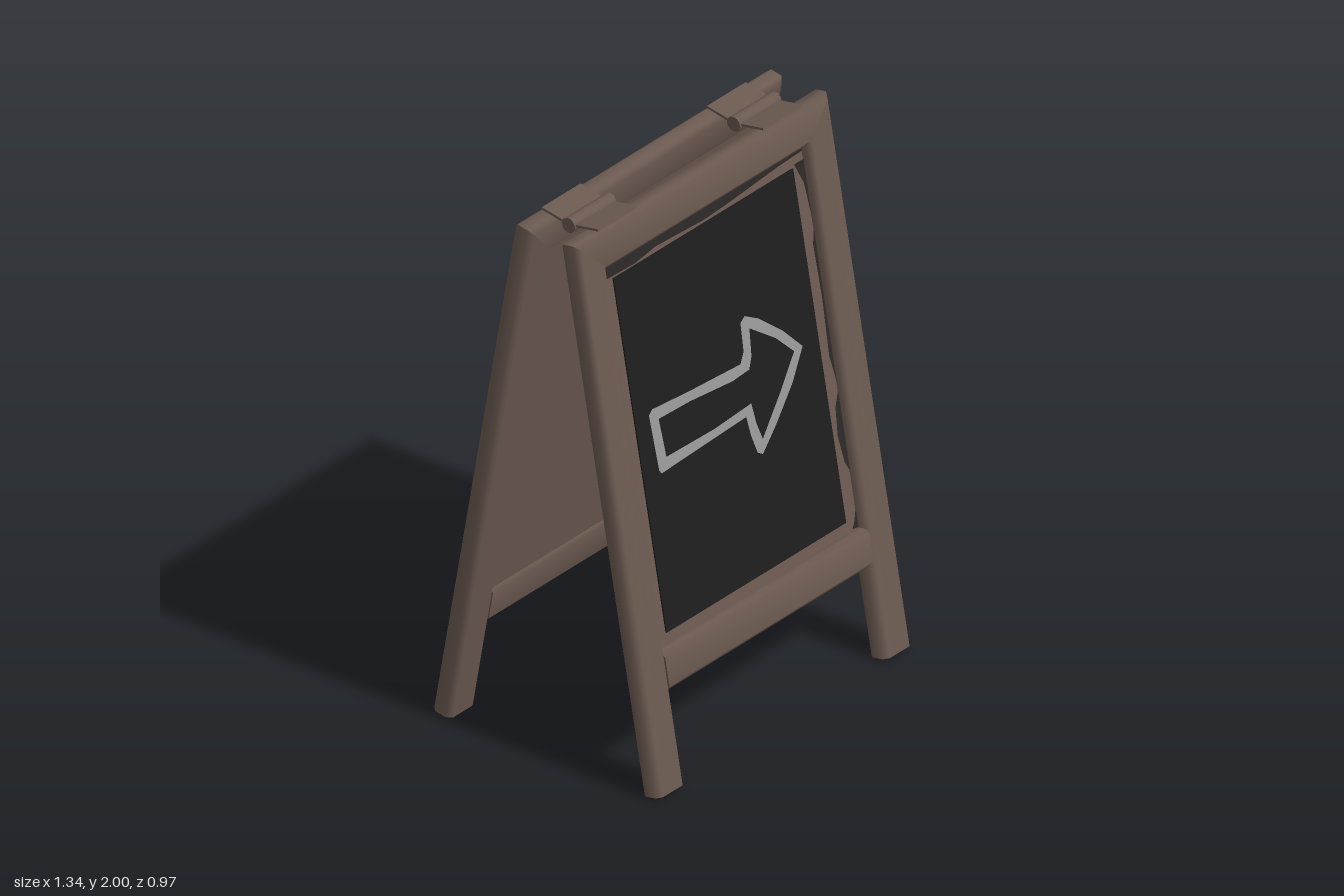
import * as THREE from 'three';

const mat = (name, color) => new THREE.MeshStandardMaterial({ name, color });
const wood = mat('brown wood', 0x6b5a50);
const board = mat('black board', 0x1d1d1d);
const worn = mat('worn dark edge', 0x2a2826);
const chalk = mat('grey chalk', 0x979797);

const TILT = 0.176, HALF = 0.07, DEPTH = 0.04, BEVEL = 0.018;

// chamfered timber section: u = across the width, w = through the depth
const SECTION = [
  [HALF, -DEPTH + BEVEL], [HALF, DEPTH - BEVEL], [HALF - BEVEL, DEPTH], [-HALF + BEVEL, DEPTH],
  [-HALF, DEPTH - BEVEL], [-HALF, -DEPTH + BEVEL], [-HALF + BEVEL, -DEPTH], [HALF - BEVEL, -DEPTH],
];

// timber between two ends, each end a rule from (u, w) to a point
function beam(name, start, end) {
  const a = SECTION.map(([u, w]) => start(u, w));
  const b = SECTION.map(([u, w]) => end(u, w));
  const n = SECTION.length;
  const pos = [...a, ...b, ...a, ...b].flat();
  const index = [];
  for (let i = 0; i < n; i++) {
    const j = (i + 1) % n;
    index.push(i, j, n + j, i, n + j, n + i);
    if (i > 0 && i < n - 1) index.push(2 * n, 2 * n + i + 1, 2 * n + i, 3 * n, 3 * n + i, 3 * n + i + 1);
  }
  const g = new THREE.BufferGeometry();
  g.setAttribute('position', new THREE.Float32BufferAttribute(pos, 3));
  g.setIndex(index);
  g.computeVertexNormals();
  return add(name, g, wood);
}

function add(name, geometry, material, x = 0, y = 0, z = 0) {
  const m = new THREE.Mesh(geometry, material);
  m.name = name;
  m.position.set(x, y, z);
  return m;
}

const vectors = (pts) => pts.map(([x, y]) => new THREE.Vector2(x, y));

// irregular worn paint patches along the board's border
const PATCHES = [
  [[-0.53, 1.84], [-0.53, 1.80], [-0.36, 1.796], [-0.25, 1.81], [0, 1.80], [0.12, 1.805], [0.4, 1.825], [0.53, 1.83], [0.53, 1.84]],
  [[0.53, 0.68], [0.53, 0.97], [0.505, 0.92], [0.495, 0.82], [0.51, 0.72]],
  [[0.53, 1.0], [0.53, 1.55], [0.515, 1.5], [0.52, 1.3], [0.512, 1.1]],
  [[0.53, 1.58], [0.53, 1.8], [0.48, 1.8], [0.515, 1.72]],
  [[-0.53, 1.4], [-0.53, 1.2], [-0.517, 1.25], [-0.515, 1.36]],
  [[-0.53, 0.88], [-0.53, 0.5], [-0.522, 0.52], [-0.517, 0.8]],
  [[0.53, 0.48], [0.53, 0.55], [0.515, 0.51], [0.5, 0.485]],
];

function arrowShape() {
  const s = new THREE.Shape(vectors([
    [-0.41, 1.27], [-0.39, 1.285], [-0.2, 1.27], [0.07, 1.255], [0.095, 1.29], [0.1, 1.39], [0.125, 1.405],
    [0.19, 1.37], [0.3, 1.28], [0.385, 1.19], [0.31, 1.09], [0.2, 0.985], [0.115, 0.915], [0.09, 0.93],
    [0.07, 1.0], [0.06, 1.07], [-0.1, 1.065], [-0.39, 1.055], [-0.4, 1.07],
  ]));
  s.holes.push(new THREE.Path(vectors([
    [-0.365, 1.24], [-0.2, 1.235], [0.02, 1.215], [0.11, 1.22], [0.13, 1.26], [0.14, 1.355],
    [0.26, 1.27], [0.34, 1.19], [0.25, 1.09], [0.125, 0.965], [0.105, 1.03], [0.095, 1.105],
    [-0.1, 1.095], [-0.355, 1.1],
  ])));
  return s;
}

function createPanel(arrowShift) {
  const p = new THREE.Group();
  // mitred frame and lower rail
  const top = 1.94, mid = 0.6;
  p.add(
    beam('rightPost', (u, w) => [-mid - u, 0, w], (u, w) => [-mid - u, top + u, w]),
    beam('topRail', (u, w) => [-mid - u, top + u, w], (u, w) => [mid + u, top + u, w]),
    beam('leftPost', (u, w) => [mid + u, top + u, w], (u, w) => [mid + u, 0, w]),
    beam('lowerRail', (u, w) => [-0.54, 0.408 + u, w], (u, w) => [0.54, 0.408 + u, w]),
  );
  // backing sheet, writing surface and chalk drawing
  const face = new THREE.Group();
  face.name = 'boardFace';
  face.position.y = -0.008;
  face.scale.y = 1.0157;
  face.add(
    add('backing', new THREE.BoxGeometry(1.08, 1.42, 0.03), wood, 0, 1.165, -0.013),
    add('writingSurface', new THREE.BoxGeometry(0.95, 1.27, 0.006), board, -0.004, 1.155, 0.004),
    add('chalkArrow', new THREE.ShapeGeometry(arrowShape()), chalk, arrowShift, 0, 0.0095),
  );
  PATCHES.forEach((pts) => face.add(
    add('wornEdge', new THREE.ShapeGeometry(new THREE.Shape(vectors(pts))), worn, 0, 0, 0.0045)));
  // dark spot on the inner side
  const spot = add('innerSpot', new THREE.CircleGeometry(0.02, 12), worn, 0.44, 0.55, -0.031);
  spot.rotation.y = Math.PI;
  face.add(spot);
  p.add(face);
  p.position.set(0, 0.007, 0.447);
  p.rotation.x = -TILT;
  return p;
}

export function createModel() {
  const model = new THREE.Group();
  model.name = 'sandwichBoard';

  // two leaning panels, the back one mirrored
  const front = createPanel(0);
  front.name = 'frontPanel';
  const backPanel = createPanel(0.045);
  backPanel.name = 'backPanel';
  const back = new THREE.Group();
  back.name = 'backHalf';
  back.scale.z = -1;
  back.add(backPanel);
  model.add(front, back);

  // hinges: a barrel with a leaf on each side
  for (const x of [-0.438, 0.435]) {
    const hinge = new THREE.Group();
    hinge.name = 'hinge';
    hinge.position.set(x, 1.975, 0);
    const barrel = add('hingeBarrel', new THREE.CylinderGeometry(0.028, 0.028, 0.22, 12), wood);
    barrel.rotation.z = Math.PI / 2;
    hinge.add(barrel);
    for (const s of [1, -1]) {
      const leaf = add('hingeLeaf', new THREE.BoxGeometry(0.205, 0.009, 0.108), wood, 0, 0.01, s * 0.067);
      leaf.rotation.x = -s * TILT;
      hinge.add(leaf);
    }
    model.add(hinge);
  }
  return model;
}
